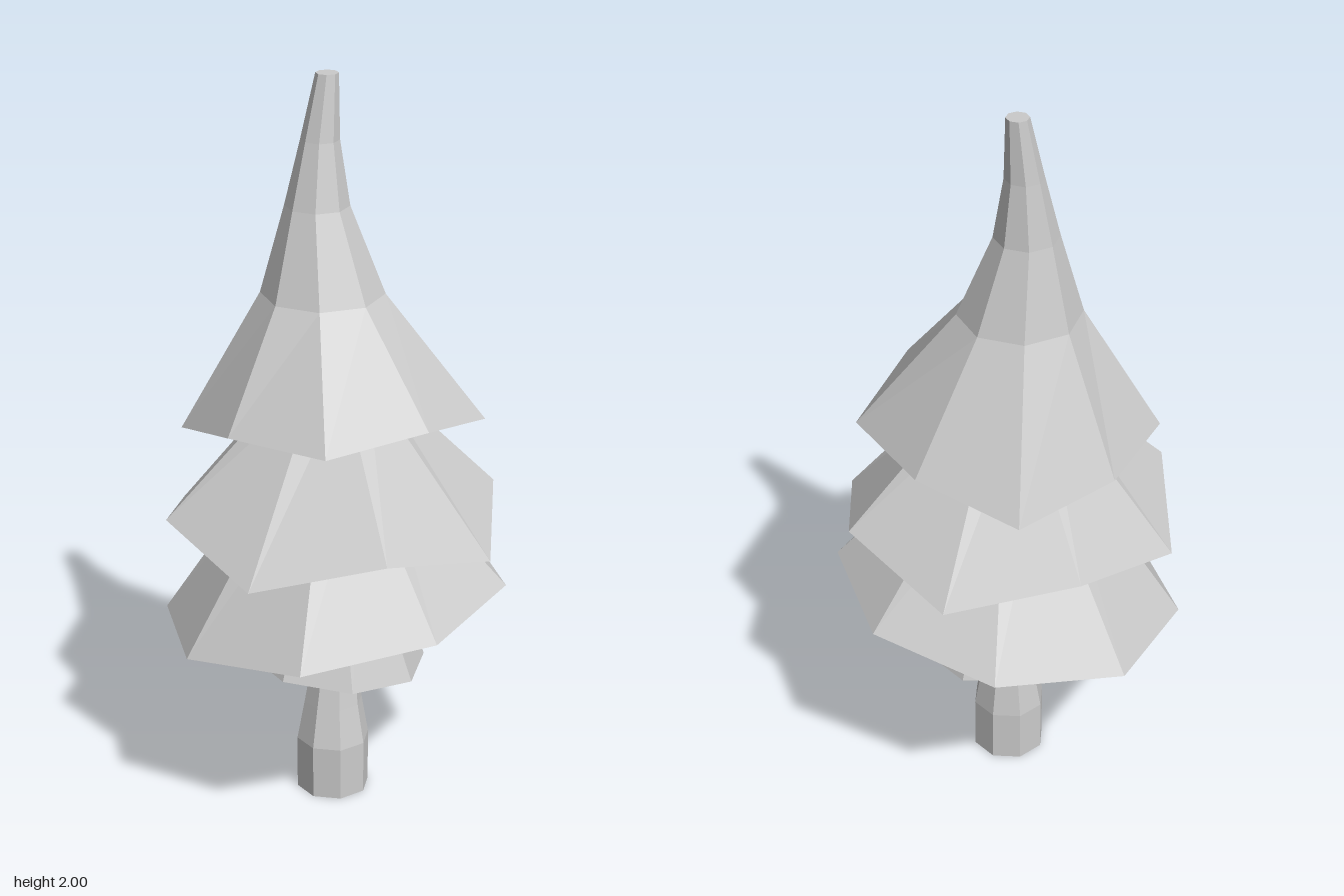
import * as THREE from 'three';

const SIDES = 8;

// ring: centre x, z, radius r, height y, optional slopes sx, sz,
// plus dr / dy added to every second corner, and rotation in degrees
function ringPoints({ x = 0, z = 0, r, y, sx = 0, sz = 0, dr = 0, dy = 0 }, rot) {
  return Array.from({ length: SIDES }, (_, j) => {
    const a = THREE.MathUtils.degToRad(rot) + (j / SIDES) * Math.PI * 2;
    const odd = j % 2, R = r + odd * dr;
    const px = Math.cos(a) * R, pz = Math.sin(a) * R;
    return new THREE.Vector3(x + px, y + sx * px + sz * pz + odd * dy, z + pz);
  });
}

// Closed faceted skin through a list of rings, running down the outside
function loft(name, rings, rot, material) {
  const loops = rings.map((ring) => ringPoints(ring, rot));
  const pts = [];
  const cap = (loop, up) => {
    const c = loop.reduce((s, p) => s.add(p), new THREE.Vector3()).divideScalar(SIDES);
    loop.forEach((p, j) => {
      const q = loop[(j + 1) % SIDES];
      pts.push(c, ...(up ? [q, p] : [p, q]));
    });
  };
  cap(loops[0], true);
  for (let i = 0; i + 1 < loops.length; i++) {
    const a = loops[i], b = loops[i + 1];
    for (let j = 0; j < SIDES; j++) {
      const k = (j + 1) % SIDES;
      pts.push(a[j], a[k], b[k], a[j], b[k], b[j]);
    }
  }
  cap(loops[loops.length - 1], false);
  const geometry = new THREE.BufferGeometry().setFromPoints(pts);
  geometry.computeVertexNormals();
  const mesh = new THREE.Mesh(geometry, material);
  mesh.name = name;
  return mesh;
}

// Hollow skirt of branches: outer wall, flat rim, then the cavity
function tier(name, upper, rim, cavity, rot, material) {
  const innerRim = { ...rim, r: rim.r * 0.8, dr: (rim.dr || 0) * 0.8 };
  return loft(name, [...upper, rim, innerRim, cavity], rot, material);
}

export function createModel() {
  const tree = new THREE.Group();
  tree.name = 'tree';
  const mat = new THREE.MeshStandardMaterial({ color: 0xcccccc, flatShading: true });

  // Trunk with a flared foot
  tree.add(loft('trunk', [
    { x: 0.01, z: -0.015, r: 0.055, y: 0.8 },
    { x: 0.01, z: -0.015, r: 0.06, y: 0.4 },
    { x: 0.002, z: -0.005, r: 0.08, y: 0.26 },
    { r: 0.1, y: 0.15 },
    { r: 0.1, y: 0 },
  ], 0, mat));

  // Branch tiers from the bottom up
  tree.add(tier('lowestBranches',
    [{ x: 0, r: 0.09, y: 0.8 }],
    { x: 0.008, r: 0.247, y: 0.4, sx: -0.09 },
    { r: 0.08, y: 0.68 }, 2, mat));

  tree.add(tier('lowerBranches',
    [{ r: 0.13, y: 1.01 }],
    { x: 0.006, z: -0.014, r: 0.468, y: 0.567, sx: 0.15, sz: 0.04 },
    { r: 0.12, y: 0.88 }, 23, mat));

  tree.add(tier('middleBranches',
    [{ r: 0.1, y: 1.22 }],
    { r: 0.457, y: 0.858, dr: 0.005, dy: -0.083 },
    { r: 0.12, y: 1.1 }, -5, mat));

  // Top tier drawn out into a bent, blunt tip
  tree.add(tier('topBranches', [
    { x: 0, z: -0.067, r: 0.03, y: 2 },
    { x: -0.02, z: -0.06, r: 0.051, y: 1.83 },
    { x: -0.03, z: -0.05, r: 0.085, y: 1.66 },
    { x: -0.02, z: -0.03, r: 0.163, y: 1.43 },
  ],
  { r: 0.4, y: 1.077, sx: 0.01, sz: 0.15, dr: -0.04, dy: 0.03 },
  { x: -0.015, z: -0.02, r: 0.12, y: 1.35 }, 15, mat));

  return tree;
}
